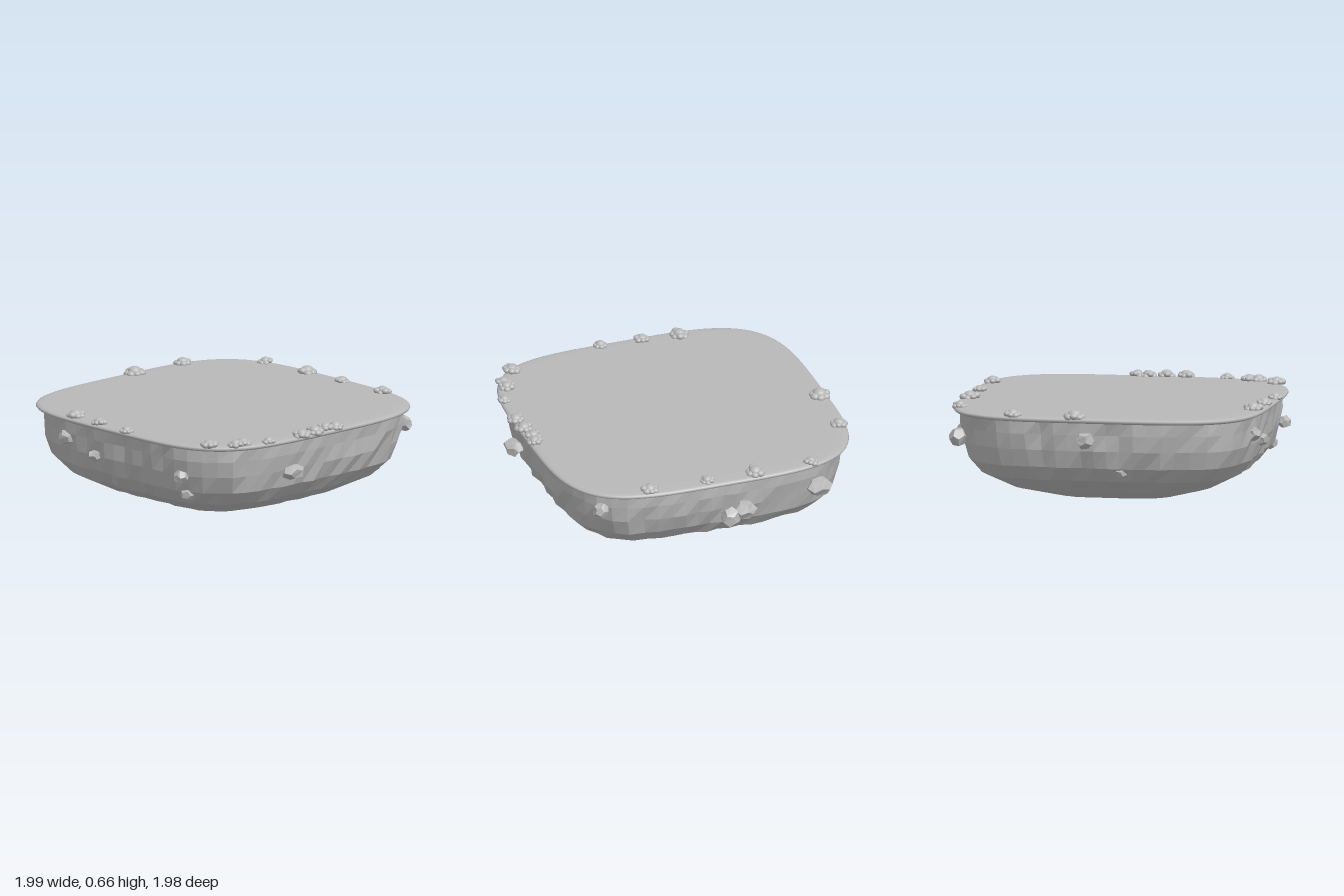
import * as THREE from 'three';
import { mergeVertices } from 'three/addons/utils/BufferGeometryUtils.js';

const CX = -0.015, CZ = -0.025; // plan centre
const SEG = 72;

// small seeded generator
function seeded(seed) {
  let s = seed;
  return () => (s = (s * 16807) % 2147483647) / 2147483647;
}

// radius of a unit rounded-square outline at an angle
const outline = a => Math.pow(Math.abs(Math.cos(a)) ** 4 + Math.abs(Math.sin(a)) ** 4, -0.25);

// skin over rounded-square rings given bottom to top as [radius, y, noise]
function loft(rings, segments, rand) {
  const pos = [], index = [];
  const ray = Array.from({ length: segments }, () => rand() - 0.5);
  rings.forEach(([r, y, n = 0]) => {
    for (let i = 0; i < segments; i++) {
      const a = (i / segments) * Math.PI * 2;
      const d = r * outline(a) + n * (ray[i] * 0.5 + (rand() - 0.5));
      pos.push(CX + d * Math.cos(a), y, CZ + d * Math.sin(a));
    }
  });
  for (let k = 0; k < rings.length - 1; k++) {
    for (let i = 0; i < segments; i++) {
      const p = k * segments + i, q = k * segments + (i + 1) % segments;
      index.push(p, p + segments, q, q, p + segments, q + segments);
    }
  }
  const g = new THREE.BufferGeometry();
  g.setAttribute('position', new THREE.Float32BufferAttribute(pos, 3));
  g.setIndex(index);
  g.computeVertexNormals();
  return g;
}

export function createModel() {
  const rand = seeded(4217);
  const smooth = new THREE.MeshStandardMaterial({ color: 0xb8b8b8 });
  smooth.name = 'grey stone';
  const model = new THREE.Group();
  model.name = 'floatingIsland';

  const add = (name, geometry, parent = model) => {
    const m = new THREE.Mesh(geometry, smooth);
    m.name = name;
    parent.add(m);
    return m;
  };
  const faceted = g => {
    const f = g.index ? g.toNonIndexed() : g;
    f.computeVertexNormals();
    return f;
  };

  // faceted rock bowl
  add('rockBase', faceted(loft([
    [0.001, 0], [0.37, 0.037, 0.012], [0.615, 0.105, 0.022], [0.8, 0.2, 0.026],
    [0.875, 0.29, 0.026], [0.91, 0.4, 0.028], [0.922, 0.5, 0.028], [0.93, 0.59, 0.008],
  ], SEG, rand)));

  // smooth ground slab with rounded rim
  add('groundSlab', loft([
    [0.9, 0.577], [0.945, 0.577], [0.96, 0.584], [0.966, 0.593], [0.962, 0.602],
    [0.95, 0.608], [0.92, 0.61], [0.85, 0.611], [0.001, 0.611],
  ], 128, rand));

  // bushes along the rim: x, z, radius
  const bushes = [
    [0.10, -0.94, 0.07], [0.49, -0.925, 0.058], [0.88, -0.6, 0.05], [0.89, -0.235, 0.065],
    [0.89, 0.08, 0.048], [0.88, 0.45, 0.058], [-0.91, -0.39, 0.063], [-0.935, -0.155, 0.053],
    [-0.952, 0.11, 0.048], [-0.84, 0.73, 0.06], [-0.71, 0.83, 0.055], [-0.65, 0.83, 0.055],
    [-0.5, 0.9, 0.045], [-0.24, 0.92, 0.058], [-0.12, 0.91, 0.06], [-0.01, 0.89, 0.055],
    [0.06, 0.905, 0.052],
  ];
  const ball = new THREE.IcosahedronGeometry(1, 3);
  bushes.forEach(([x, z, r]) => {
    const bush = new THREE.Group();
    bush.name = 'bush';
    bush.position.set(x, 0.615, z);
    bush.rotation.y = rand() * 6;
    model.add(bush);
    const core = add('bushCore', ball, bush);
    core.scale.set(r * 0.62, r * 0.5, r * 0.62);
    core.position.y = r * 0.12;
    for (let i = 0; i < 7; i++) {
      const a = (i / 7) * Math.PI * 2, s = r * (0.32 + rand() * 0.1);
      const leaf = add('bushClump', ball, bush);
      leaf.scale.set(s, s * 0.8, s);
      leaf.position.set(Math.cos(a) * r * 0.6, (rand() - 0.35) * r * 0.3, Math.sin(a) * r * 0.6);
    }
  });

  // angular stones stuck to the wall: x, y, z, half sizes
  const stones = [
    [-0.30, 0.39, 0.91, 0.08, 0.05, 0.06], [0.80, 0.48, 0.74, 0.045, 0.05, 0.05],
    [0.93, 0.355, -0.06, 0.065, 0.062, 0.065], [0.93, 0.39, -0.15, 0.07, 0.06, 0.075],
    [0.88, 0.43, -0.66, 0.06, 0.06, 0.085], [0.04, 0.47, -0.94, 0.06, 0.055, 0.05],
    [-0.18, 0.27, -0.87, 0.045, 0.04, 0.045], [-0.92, 0.47, -0.46, 0.05, 0.045, 0.06],
    [-0.93, 0.4, -0.2, 0.045, 0.04, 0.045], [-0.92, 0.40, 0.56, 0.045, 0.04, 0.05],
    [-0.84, 0.27, 0.53, 0.045, 0.045, 0.045],
  ];
  stones.forEach(([x, y, z, sx, sy, sz]) => {
    let g = new THREE.DodecahedronGeometry(1, 0);
    g.deleteAttribute('uv');
    g.deleteAttribute('normal');
    g = mergeVertices(g, 1e-3);
    const p = g.attributes.position;
    for (let i = 0; i < p.count; i++) {
      const k = 0.9 + rand() * 0.22;
      p.setXYZ(i, p.getX(i) * k, p.getY(i) * k, p.getZ(i) * k);
    }
    g.rotateY(rand() * 3).rotateX(rand() * 3).scale(sx, sy, sz);
    add('stone', faceted(g)).position.set(x, y, z);
  });

  return model;
}
